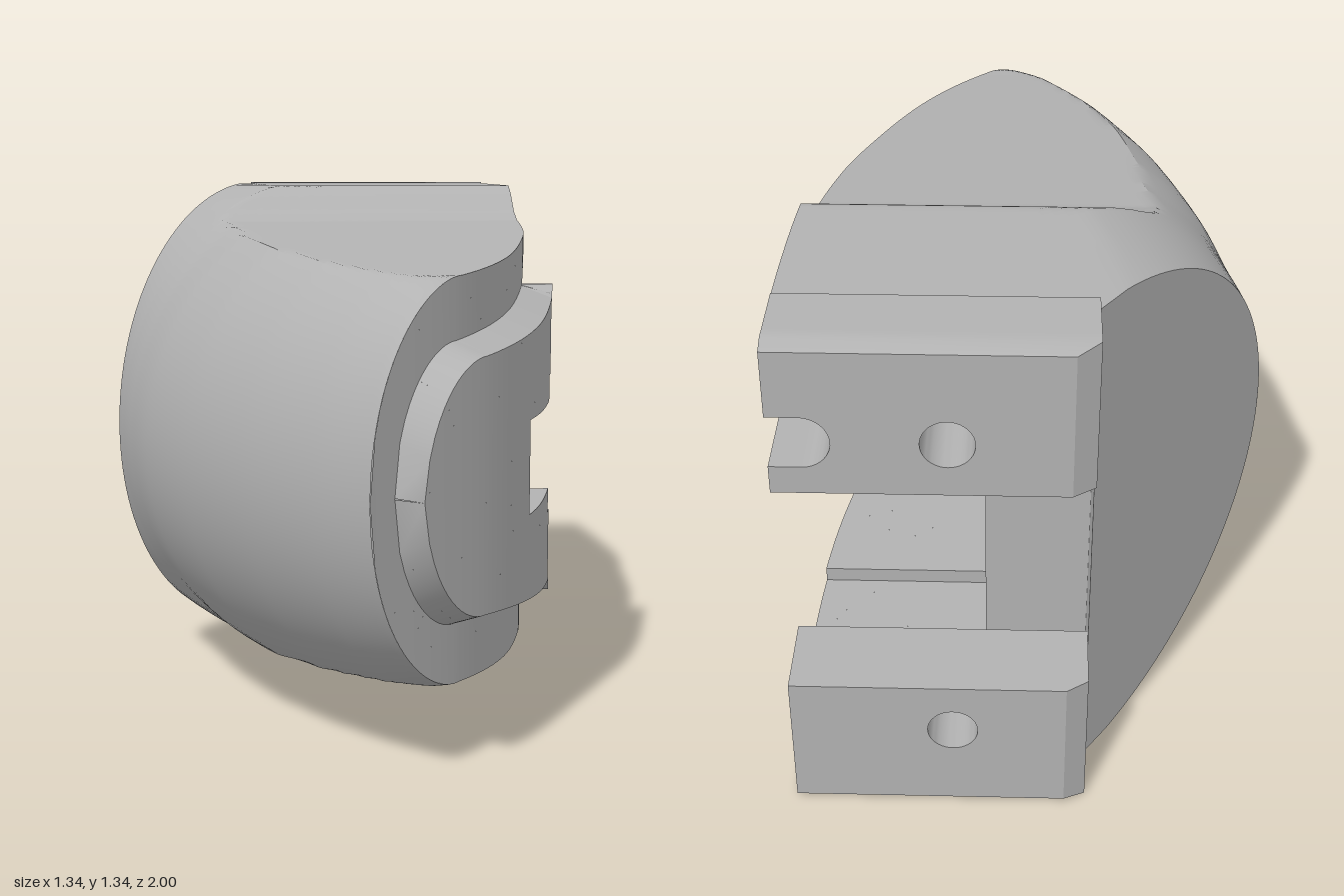
import * as THREE from 'three';
import { toCreasedNormals } from 'three/addons/utils/BufferGeometryUtils.js';

const MID = 0.67; // the housing is mirrored above and below this height

// Piecewise linear lookup in a list of [key, value]
function lerpTable(table, k) {
  for (let i = 1; i < table.length; i++) {
    const [a, va] = table[i - 1], [b, vb] = table[i];
    if (k <= b) return va + (vb - va) * Math.max(0, (k - a) / (b - a));
  }
  return table[table.length - 1][1];
}

// Curved open face: sideways position for a lengthwise position w
const NOSE = 0.8, TIP = 1.044;
const edgeTable = new THREE.SplineCurve([[-0.98, 0.457], [-0.65, 0.455], [-0.35, 0.441], [-0.08, 0.407],
  [0.175, 0.346], [0.535, 0.213], [NOSE, 0.044], [TIP, -0.207]].map((p) => new THREE.Vector2(...p)))
  .getPoints(140).map((p) => [p.x, p.y]);
const edge = (w) => lerpTable(edgeTable, w);
const arc = (w, start, length) => Math.sqrt(Math.max(0, 1 - ((w - start) / length) ** 2));

// Half height of the flat top along that face, and of the rounded shell it trims
const crest = [[-0.98, 0.669], [-0.36, 0.662], [-0.32, 0.64], [-0.25, 0.587], [-0.18, 0.565], [NOSE, 0.47]];
const dome = [[-0.98, 0.672], [-0.05, 0.675], [0.2, 0.65], [0.45, 0.595], [0.66, 0.53], [NOSE, 0.47]];
const rimHalf = (w) => (w < NOSE ? lerpTable(crest, w) : 0.47 * arc(w, NOSE, TIP - NOSE));

// Half height of the cavity mouth, stepping along its length
const SILL = -0.667, EAR = -0.773, BACK = -0.813;
const mouth = [[EAR, 0.29], [EAR, 0.55], [-0.588, 0.55], [-0.588, 0.5], [-0.362, 0.5], [-0.362, 0.46],
  [0.13, 0.46], [0.175, 0.41], [0.23, 0.35], [0.23, 0.18], [0.275, 0.18], [0.275, 0.115], [0.6, 0.115], [0.6, 0]];
const mouthHalf = (w) => lerpTable(mouth, w);
const floorAt = (w) => (w < SILL ? -0.252 : 0);

// Raised pad on the front face
const PAD0 = 0.175, PAD1 = 0.985;
const padHalf = (w) => (w < 0.82 ? 0.41 - ((w - PAD0) / 0.645) * 0.085 : 0.325 * arc(w, 0.82, PAD1 - 0.82));
const onPad = (w) => w > PAD0 && w < PAD1;
function outerPoint(w) {
  if (!onPad(w)) return [edge(w), w];
  const slope = (edge(w + 0.02) - edge(w - 0.02)) / 0.04;
  const n = 0.08 / Math.hypot(1, slope);
  return [edge(w) + n, w - n * slope];
}
// Lengthwise position on the cavity floor below a point of the mouth
function floorW(w) {
  if (!onPad(w)) return w;
  const ramp = Math.min(1, (w - PAD0) / 0.04);
  return Math.min(0.575, w + (outerPoint(w)[1] - w) * ramp);
}

// Collects quads given as [x, height from the middle, z]
class Sheet {
  constructor() { this.points = []; }
  quad(a, b, c, d) {
    for (const p of [a, b, c, a, c, d]) this.points.push(p[0], MID + p[1], p[2]);
  }
  both(a, b, c, d) {
    const flip = (p) => [p[0], -p[1], p[2]];
    this.quad(a, b, c, d);
    this.quad(flip(d), flip(c), flip(b), flip(a));
  }
  geometry(crease = 0.5) {
    const g = new THREE.BufferGeometry();
    g.setAttribute('position', new THREE.Float32BufferAttribute(this.points, 3));
    return toCreasedNormals(g, crease);
  }
}

// Rounded outer shell, lofted between a side line and a top line, trimmed by the crest
function shellSections() {
  const side = [[-0.207, TIP], [-0.32, 0.9], [-0.45, 0.69], [-0.57, 0.43], [-0.645, 0.19],
    [-0.676, 0.01], [-0.686, -0.06], [-0.692, -0.11], [-0.697, -0.15], [-0.7, -0.185]];
  const top = [[edge(NOSE), NOSE], [0.05, 0.66], [0.05, 0.45], [0.05, 0.2], [0.04, -0.05],
    [0, -0.16], [-0.05, -0.25], [-0.1, -0.35], [-0.18, -0.58], [-0.252, BACK]];
  const curve = (pts) => new THREE.CatmullRomCurve3(pts.map(([u, w]) => new THREE.Vector3(u, 0, w)));
  const sideCurve = curve(side), topCurve = curve(top);
  const rows = [], N = 130, K = 72;
  for (let i = 0; i <= N; i++) {
    const m = sideCurve.getPoint(i / N), t = topCurve.getPoint(i / N);
    const h = lerpTable(dome, t.z), flat = Math.min(h, lerpTable(crest, t.z));
    const row = [[edge(t.z), -flat, t.z]];
    for (let k = 0; k <= K; k++) {
      const a = (k / K) * Math.PI, s = Math.sin(a);
      const w = t.z + (m.z - t.z) * s, limit = lerpTable(crest, w);
      const y = THREE.MathUtils.clamp(-h * Math.cos(a), -limit, limit);
      row.push([i === 0 ? edge(w) : t.x + (m.x - t.x) * s, y, w]);
    }
    row.push([edge(t.z), flat, t.z]);
    rows.push(row);
  }
  return rows;
}

function outerShell(rows) {
  const s = new Sheet();
  for (let i = 1; i < rows.length; i++) {
    for (let k = 1; k < rows[i].length; k++) {
      s.quad(rows[i - 1][k - 1], rows[i - 1][k], rows[i][k], rows[i][k - 1]);
    }
  }
  return s.geometry();
}

// Flat slanted back, closing the last section
function backFace(rows) {
  const s = new Sheet(), r = rows[rows.length - 1], n = r.length - 1;
  for (let k = 1; k < n / 2 - 1; k++) s.quad(r[k], r[k + 1], r[n - k - 1], r[n - k]);
  return s.geometry();
}

// Rim, pad and cavity, built in narrow columns along the length
function innerParts() {
  const rim = new Sheet(), pad = new Sheet(), cavity = new Sheet();
  const stops = [BACK, EAR, SILL, -0.588, -0.362, 0.13, PAD0, 0.23, 0.275, 0.6, NOSE, 0.82, PAD1, TIP];
  const e = 1e-6;
  for (let i = 1; i < stops.length; i++) {
    const n = Math.ceil((stops[i] - stops[i - 1]) / 0.012);
    for (let j = 0; j < n; j++) {
      const a = THREE.MathUtils.lerp(stops[i - 1], stops[i], j / n) + e;
      const b = THREE.MathUtils.lerp(stops[i - 1], stops[i], (j + 1) / n) - e;
      const raised = onPad(a);
      const ma = mouthHalf(a), mb = mouthHalf(b);
      const pa = outerPoint(a), pb = outerPoint(b);
      const ba = raised ? padHalf(a) : ma, bb = raised ? padHalf(b) : mb;
      if (a > EAR) {
        rim.both([edge(a), ba, a], [edge(b), bb, b], [edge(b), rimHalf(b), b], [edge(a), rimHalf(a), a]);
      }
      if (raised) {
        const ta = Math.max(ma, ba - 0.03), tb = Math.max(mb, bb - 0.03);
        pad.both([pa[0], ma, pa[1]], [pb[0], mb, pb[1]], [pb[0], tb, pb[1]], [pa[0], ta, pa[1]]);
        pad.both([pa[0], ta, pa[1]], [pb[0], tb, pb[1]], [edge(b), bb, b], [edge(a), ba, a]);
      }
      if (ma > 0) {
        const fa = floorAt(a), fb = floorAt(b), wa = floorW(a), wb = floorW(b);
        cavity.both([fa, ma, wa], [fb, mb, wb], [pb[0], mb, pb[1]], [pa[0], ma, pa[1]]);
        cavity.quad([fa, -ma, wa], [fb, -mb, wb], [fb, mb, wb], [fa, ma, wa]);
      }
    }
    // Upright walls where the cavity steps
    const w = stops[i], m0 = mouthHalf(w - e), m1 = mouthHalf(w + e);
    if (Math.abs(m0 - m1) > 0.001 && w > EAR) {
      const p = outerPoint(w), f = floorW(w);
      cavity.both([0, m0, f], [0, m1, f], [p[0], m1, p[1]], [p[0], m0, p[1]]);
    }
  }
  // Sill in front of the back window
  cavity.quad([-0.252, -0.55, SILL], [0, -0.55, SILL], [0, 0.55, SILL], [-0.252, 0.55, SILL]);
  return { rim: rim.geometry(), pad: pad.geometry(), cavity: cavity.geometry() };
}

// Mounting ear with a screw hole, and for the upper one an open slot
function earGeometry(upper) {
  const s = new THREE.Shape(), sign = upper ? 1 : -1, R = 0.457, L = -0.252;
  s.moveTo(L, MID + sign * 0.29);
  s.lineTo(R, MID + sign * 0.29);
  if (upper) {
    s.lineTo(R, 1.03);
    s.lineTo(0.385, 1.03);
    s.absarc(0.385, 1.095, 0.065, -Math.PI / 2, Math.PI / 2, true);
    s.lineTo(R, 1.16);
  }
  s.lineTo(R, MID + sign * 0.67);
  s.lineTo(L, MID + sign * 0.67);
  s.closePath();
  const hole = new THREE.Path();
  hole.absarc(0.07, MID + sign * 0.425, 0.06, 0, Math.PI * 2);
  s.holes.push(hole);
  const g = new THREE.ExtrudeGeometry(s, { depth: EAR + 0.98, steps: 6, bevelEnabled: false, curveSegments: 20 });
  g.translate(0, 0, -0.98);
  // Bevel the back corners
  const p = g.attributes.position;
  for (let i = 0; i < p.count; i++) {
    if (p.getZ(i) > -0.979) continue;
    if (p.getX(i) < -0.24) p.setX(i, -0.2);
    if (Math.abs(p.getY(i) - MID) > 0.66) p.setY(i, MID + sign * 0.655);
  }
  return toCreasedNormals(g, 0.5);
}

export function createModel() {
  const grey = new THREE.MeshStandardMaterial({ color: 0xb2b2b2, side: THREE.DoubleSide });
  grey.name = 'light grey';
  const model = new THREE.Group();
  model.name = 'housing';
  const body = new THREE.Group();
  body.name = 'housingBody';
  const add = (name, geometry) => {
    const mesh = new THREE.Mesh(geometry, grey);
    mesh.name = name;
    body.add(mesh);
  };
  const rows = shellSections(), inner = innerParts();
  add('outerShell', outerShell(rows));
  add('backFace', backFace(rows));
  add('frontRim', inner.rim);
  add('raisedPad', inner.pad);
  add('cavity', inner.cavity);
  add('upperEar', earGeometry(true));
  add('lowerEar', earGeometry(false));
  body.rotation.y = -0.23;
  model.add(body);
  return model;
}
